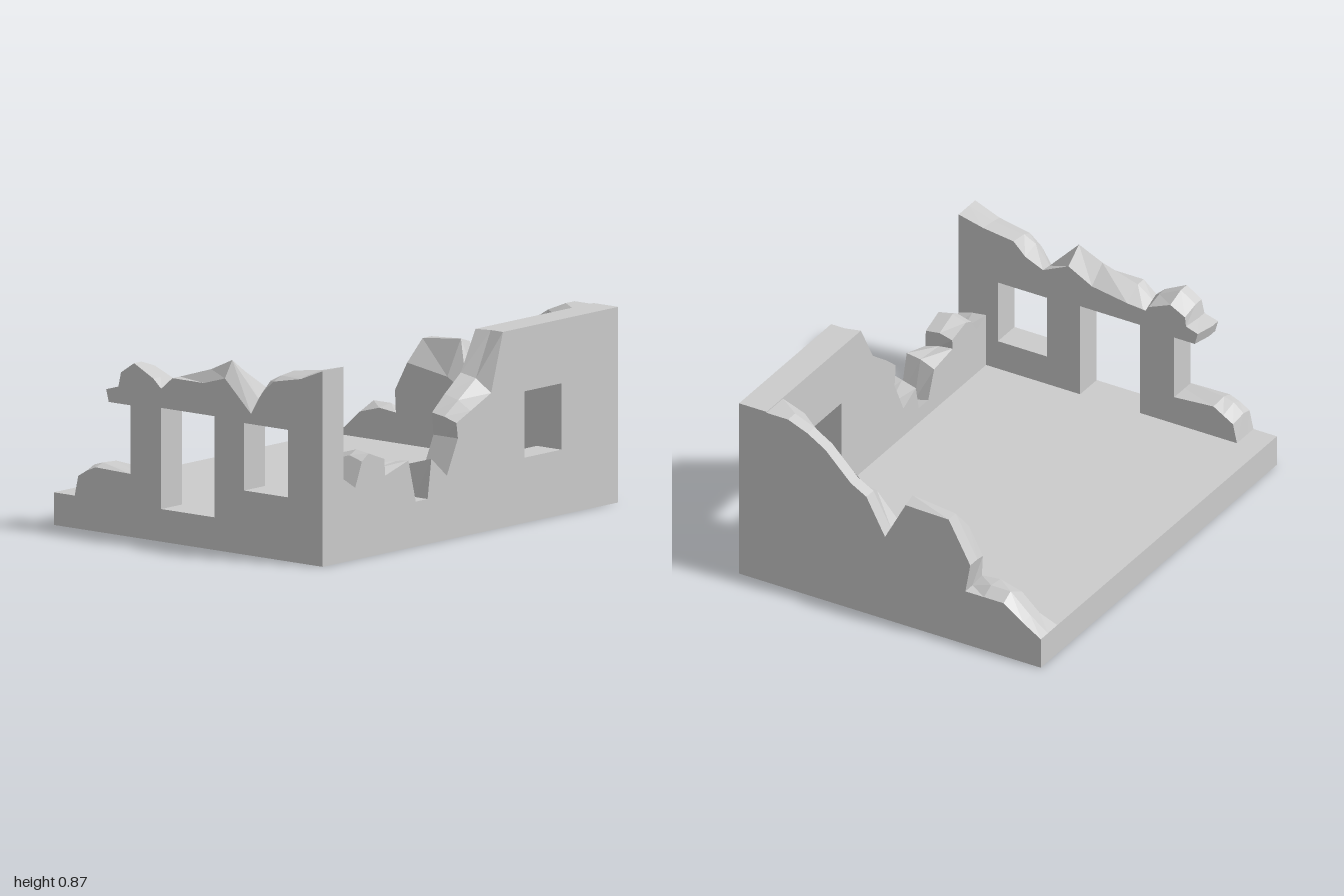
import * as THREE from 'three';

const FLOOR = 0.145, T = 0.14;

// Rectangular window opening
function opening(u0, u1, v0, v1) {
  return new THREE.Path([[u0, v0], [u0, v1], [u1, v1], [u1, v0]].map(p => new THREE.Vector2(...p)));
}

// Wall with a broken top. Each outline point is [u, v, crestDu, crestDv, innerDu, innerDv]:
// its place on the outer face, then its offsets on the crest line and on the inner face.
function brokenWall(name, outline, windows, crestDepth, material) {
  const shape = new THREE.Shape(outline.map(p => new THREE.Vector2(p[0], p[1])));
  shape.holes.push(...windows.map(w => opening(...w)));
  const geo = new THREE.ExtrudeGeometry(shape, { depth: T, steps: 2, bevelEnabled: false });
  const pos = geo.attributes.position;
  for (let i = 0; i < pos.count; i++) {
    const x = pos.getX(i), y = pos.getY(i), z = pos.getZ(i);
    if (z > T - 0.01) continue;
    const mid = z > 0.01;
    if (mid) pos.setZ(i, T - crestDepth);
    const p = outline.find(q => Math.abs(q[0] - x) < 1e-4 && Math.abs(q[1] - y) < 1e-4);
    if (!p) continue;
    const k = mid ? 2 : 4;
    pos.setXY(i, x + (p[k] || 0), y + (p[k + 1] || 0));
  }
  geo.computeVertexNormals();
  const mesh = new THREE.Mesh(geo, material);
  mesh.name = name;
  return mesh;
}

export function createModel() {
  const group = new THREE.Group();
  group.name = 'ruinedHouse';
  const material = new THREE.MeshStandardMaterial({ color: 0xcccccc, flatShading: true });

  // Floor slab
  const slab = new THREE.Mesh(new THREE.BoxGeometry(1.54, FLOOR, 2), material);
  slab.position.y = FLOOR / 2;
  slab.name = 'floorSlab';
  group.add(slab);

  // Front wall: doorway, whole window, and a window broken open on its far side
  const front = brokenWall('frontWall', [
    [-0.65, FLOOR], [-0.155, FLOOR], [-0.155, 0.595], [0.15, 0.595], [0.15, FLOOR], [0.77, FLOOR],
    [0.77, 0.87], [0.645, 0.82, 0, 0.01, 0, 0.02], [0.49, 0.79, 0, 0.02, 0, 0.03],
    [0.43, 0.74, 0, 0.04, 0, 0.02], [0.36, 0.63, 0, 0.06, -0.02, 0.09],
    [0.21, 0.77, 0, 0.075, 0, 0.01], [0.09, 0.735, 0, 0.055, 0, -0.02],
    [-0.09, 0.735, 0, 0, 0, -0.05], [-0.155, 0.68, -0.01, 0, -0.02, -0.02],
    [-0.2, 0.72, 0, 0, 0, -0.02], [-0.31, 0.775, 0, 0, 0, -0.03], [-0.385, 0.725, 0, 0, 0, -0.02],
    [-0.4, 0.66, 0, 0, 0.01, 0], [-0.47, 0.64, 0, 0, 0.02, 0], [-0.455, 0.585, 0, 0, 0.02, 0],
    [-0.33, 0.585], [-0.33, 0.28], [-0.53, 0.285, 0, 0.015, 0, 0.01],
    [-0.58, 0.265, 0, 0.02], [-0.63, 0.235, 0, 0.01],
  ], [[0.32, 0.57, 0.285, 0.585]], 0.05, material);
  front.position.z = 1 - T;
  group.add(front);

  // Side wall on the model's left, u runs towards the back
  const side = brokenWall('sideWall', [
    [-0.86, FLOOR], [1, FLOOR], [1, 0.87], [0.22, 0.87, 0, 0, -0.02, 0],
    [0.14, 0.61, -0.02, 0.06, -0.04, 0.08], [0.0, 0.55, 0, 0.04, -0.01, 0.06],
    [-0.095, 0.51, 0, 0.02, 0, 0.03], [-0.085, 0.44], [-0.16, 0.285],
    [-0.265, 0.375, 0, -0.02, 0, -0.04], [-0.29, 0.2, 0, 0, 0, 0.02], [-0.37, 0.2, 0, 0, 0, 0.02],
    [-0.42, 0.39, 0, -0.01, 0, -0.04], [-0.578, 0.345, 0, 0.02, 0, 0.03],
    [-0.582, 0.42, 0, 0.01, 0.01, 0], [-0.69, 0.46, 0, 0.01, 0, -0.01],
    [-0.735, 0.43, 0, 0.02, 0, 0], [-0.78, 0.32, 0, 0.03, 0, 0.05], [-0.86, 0.37, 0, 0.02, 0, 0.03],
  ], [[0.365, 0.615, 0.29, 0.585]], 0.07, material);
  side.rotation.y = Math.PI / 2;
  side.position.x = 0.77 - T;
  group.add(side);

  // Back wall, stepping down to the floor; u runs towards the model's right
  const back = brokenWall('backWall', [
    [-0.63, FLOOR], [0.77, FLOOR], [0.68, 0.2, 0, 0.01, 0, -0.02], [0.58, 0.27, 0, 0.03, 0.01, -0.01],
    [0.48, 0.27, 0, 0.03, 0, 0.02], [0.385, 0.27, 0, 0, 0, 0.01], [0.41, 0.41, 0, 0, -0.02, -0.03],
    [0.3, 0.61, 0, 0, 0.02, -0.1], [0.08, 0.615, 0, 0.02, 0.01, -0.14],
    [-0.025, 0.42, 0, 0, 0, -0.01], [-0.12, 0.595, 0, 0, -0.03, -0.05],
    [-0.2, 0.64, 0, 0, -0.03, -0.08], [-0.33, 0.77, 0, 0, 0, -0.17],
    [-0.42, 0.825, 0, 0, 0, -0.1], [-0.52, 0.865, 0, 0, 0, -0.04], [-0.63, 0.865],
  ], [], 0.06, material);
  back.rotation.y = Math.PI;
  back.position.z = -1 + T;
  group.add(back);

  return group;
}
